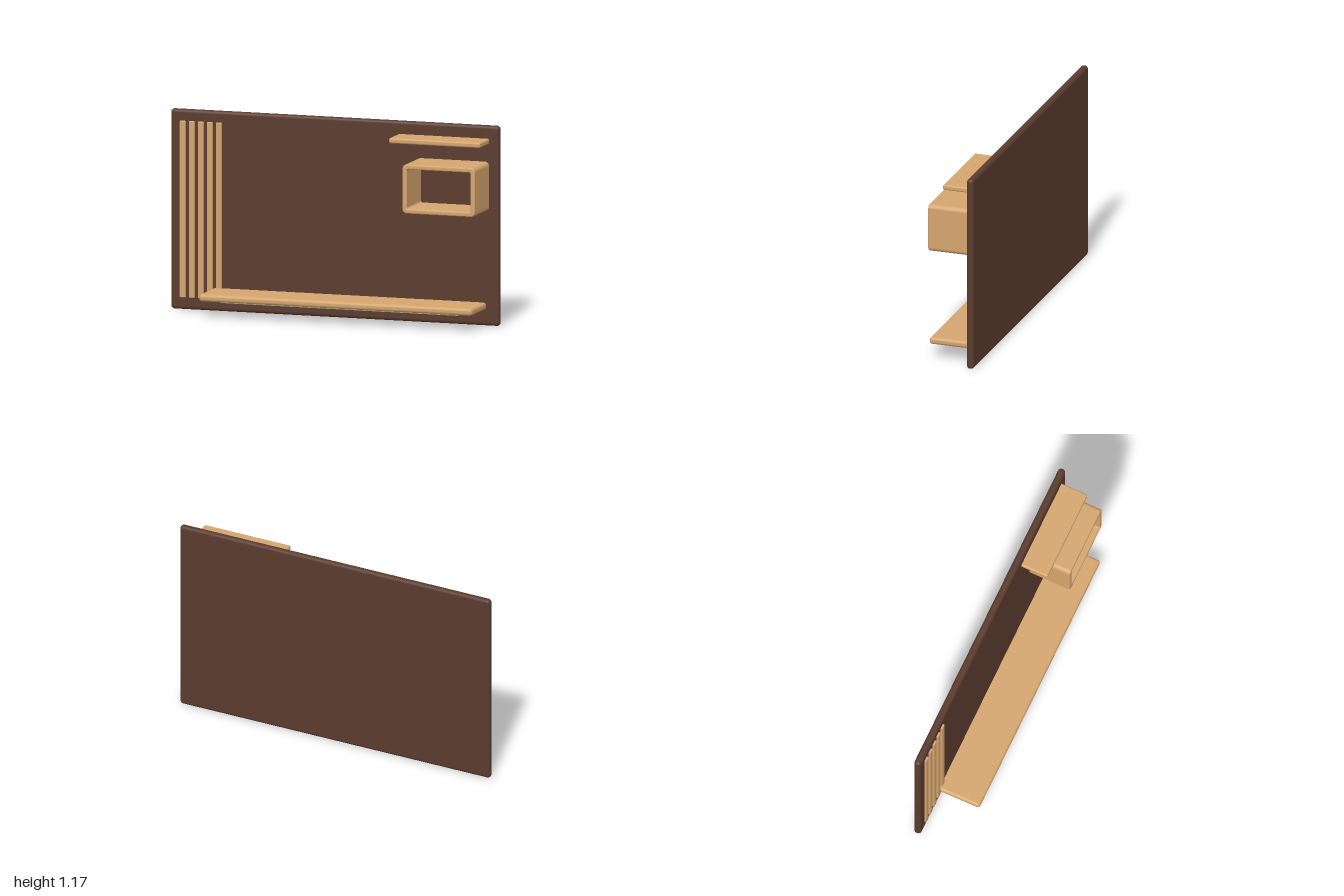
import * as THREE from 'three';
import { RoundedBoxGeometry } from 'three/addons/geometries/RoundedBoxGeometry.js';

const material = (name, color) => {
  const m = new THREE.MeshStandardMaterial({ color });
  m.name = name;
  return m;
};

// Rounded rectangle outline, used for the cubby and its opening
function roundedRect(path, x0, y0, x1, y1, r) {
  path.moveTo(x0 + r, y0);
  path.lineTo(x1 - r, y0);
  path.absarc(x1 - r, y0 + r, r, -Math.PI / 2, 0);
  path.lineTo(x1, y1 - r);
  path.absarc(x1 - r, y1 - r, r, 0, Math.PI / 2);
  path.lineTo(x0 + r, y1);
  path.absarc(x0 + r, y1 - r, r, Math.PI / 2, Math.PI);
  path.lineTo(x0, y0 + r);
  path.absarc(x0 + r, y0 + r, r, Math.PI, Math.PI * 1.5);
  return path;
}

export function createModel() {
  const group = new THREE.Group();
  group.name = 'wallUnit';
  const darkWood = material('darkWood', 0x5a3b2e);
  const lightWood = material('lightWood', 0xd4a56e);
  const lightStrip = material('lightStrip', 0xe6e2c0);

  const add = (name, geometry, mat) => {
    const mesh = new THREE.Mesh(geometry, mat);
    mesh.name = name;
    group.add(mesh);
    return mesh;
  };
  // Rounded board given by its extents on each axis
  const board = (name, mat, [x0, x1], [y0, y1], [z0, z1], r) =>
    add(name, new RoundedBoxGeometry(x1 - x0, y1 - y0, z1 - z0, 4, r), mat)
      .position.set((x0 + x1) / 2, (y0 + y1) / 2, (z0 + z1) / 2);

  // Back panel and shelves
  board('backPanel', darkWood, [-1, 1], [0, 1.166], [-0.148, -0.105], 0.019);
  board('lowerShelf', lightWood, [-0.742, 0.92], [0.093, 0.135], [-0.125, 0.15], 0.017);
  board('upperShelf', lightWood, [0.385, 0.94], [1.06, 1.091], [-0.125, 0.06], 0.01);

  // Vertical slats
  for (let i = 0; i < 5; i++) {
    const x = -0.924 + i * 0.055;
    board('slat' + (i + 1), lightWood, [x - 0.017, x + 0.017], [0.071, 1.1], [-0.115, -0.093], 0.004);
  }

  // Open cubby: rounded frame run forward from the panel
  const outline = roundedRect(new THREE.Shape(), 0.498, 0.671, 0.94, 0.957, 0.026);
  outline.holes.push(roundedRect(new THREE.Path(), 0.526, 0.699, 0.912, 0.929, 0.01));
  const bevel = 0.008;
  const frame = new THREE.ExtrudeGeometry(outline, {
    depth: 0.27 - 2 * bevel, curveSegments: 6,
    bevelThickness: bevel, bevelSize: bevel, bevelOffset: -bevel, bevelSegments: 3,
  });
  frame.translate(0, 0, -0.12 + bevel);
  add('cubby', frame, lightWood);

  // Light strips hung under the lower shelf and the cubby
  const strip = (name, x0, x1, y, z) => {
    const r = 0.007;
    const mesh = add(name, new THREE.CapsuleGeometry(r, x1 - x0 - 2 * r, 4, 12), lightStrip);
    mesh.rotation.z = Math.PI / 2;
    mesh.position.set((x0 + x1) / 2, y, z);
  };
  strip('lowerLightStrip', -0.64, 0.81, 0.085, 0.068);
  strip('cubbyLightStrip', 0.555, 0.885, 0.664, 0.054);

  return group;
}
